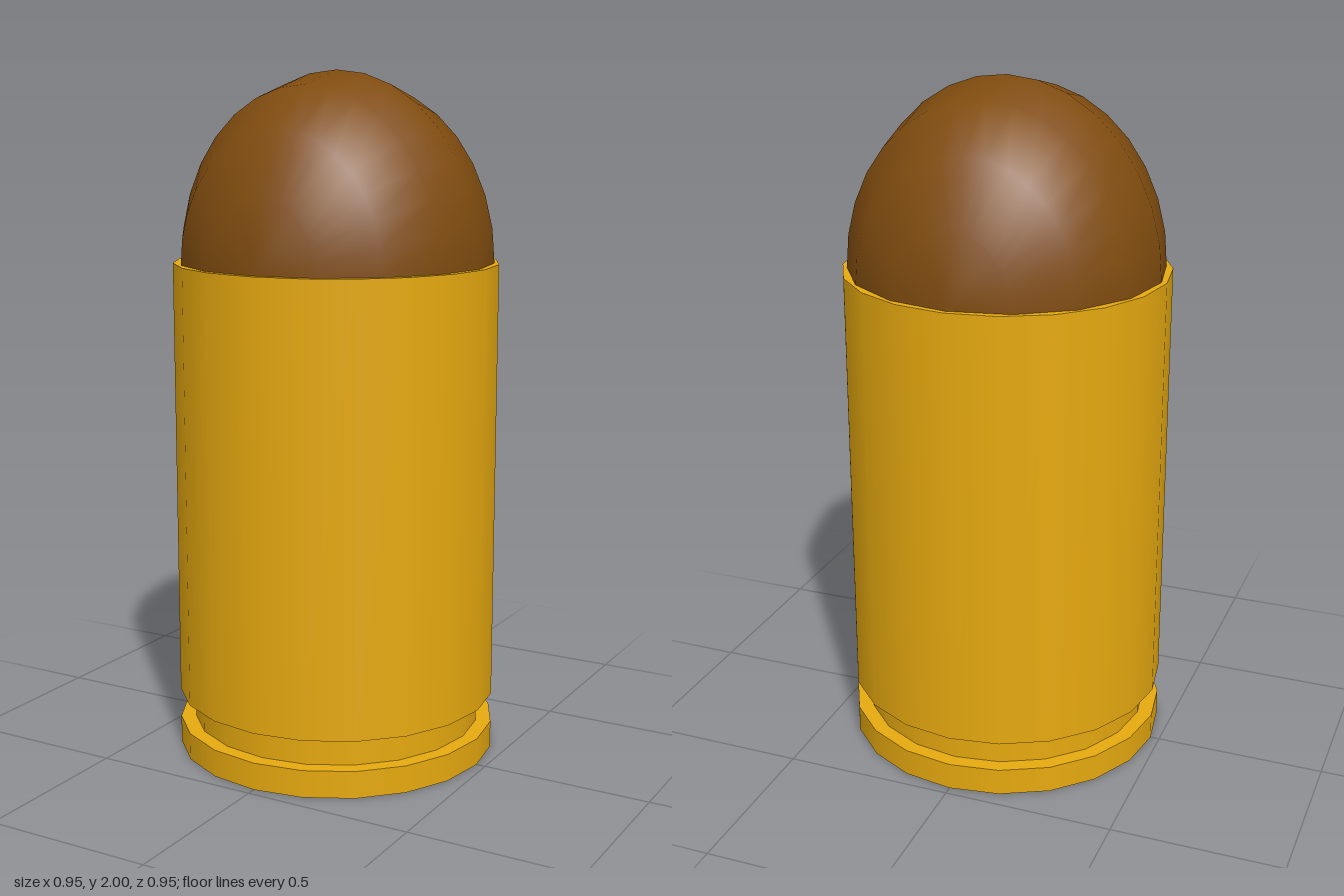
import * as THREE from 'three';

const SIDES = 20;

export function createModel() {
  const group = new THREE.Group();
  const brass = new THREE.MeshStandardMaterial({ color: 0xe6a90f });
  const copper = new THREE.MeshStandardMaterial({ color: 0x804c0f });

  // Stacked cylinders: rim, extractor groove and case wall
  const ring = (name, radius, bottom, top) => {
    const mesh = new THREE.Mesh(new THREE.CylinderGeometry(radius, radius, top - bottom, SIDES), brass);
    mesh.name = name;
    mesh.position.y = (bottom + top) / 2;
    group.add(mesh);
  };
  ring('rim', 0.473, 0, 0.08);
  ring('grooveNeck', 0.428, 0.08, 0.168);
  ring('caseBody', 0.473, 0.168, 1.455);

  // Rounded tip: upper half of a stretched sphere whose poles lie along z
  const dome = new THREE.SphereGeometry(1, 16, 8, 0, Math.PI);
  dome.rotateX(-Math.PI / 2);
  dome.scale(0.457, 0.545, 0.457);
  const tip = new THREE.Mesh(dome, copper);
  tip.name = 'tip';
  tip.position.y = 1.455;
  group.add(tip);

  return group;
}
